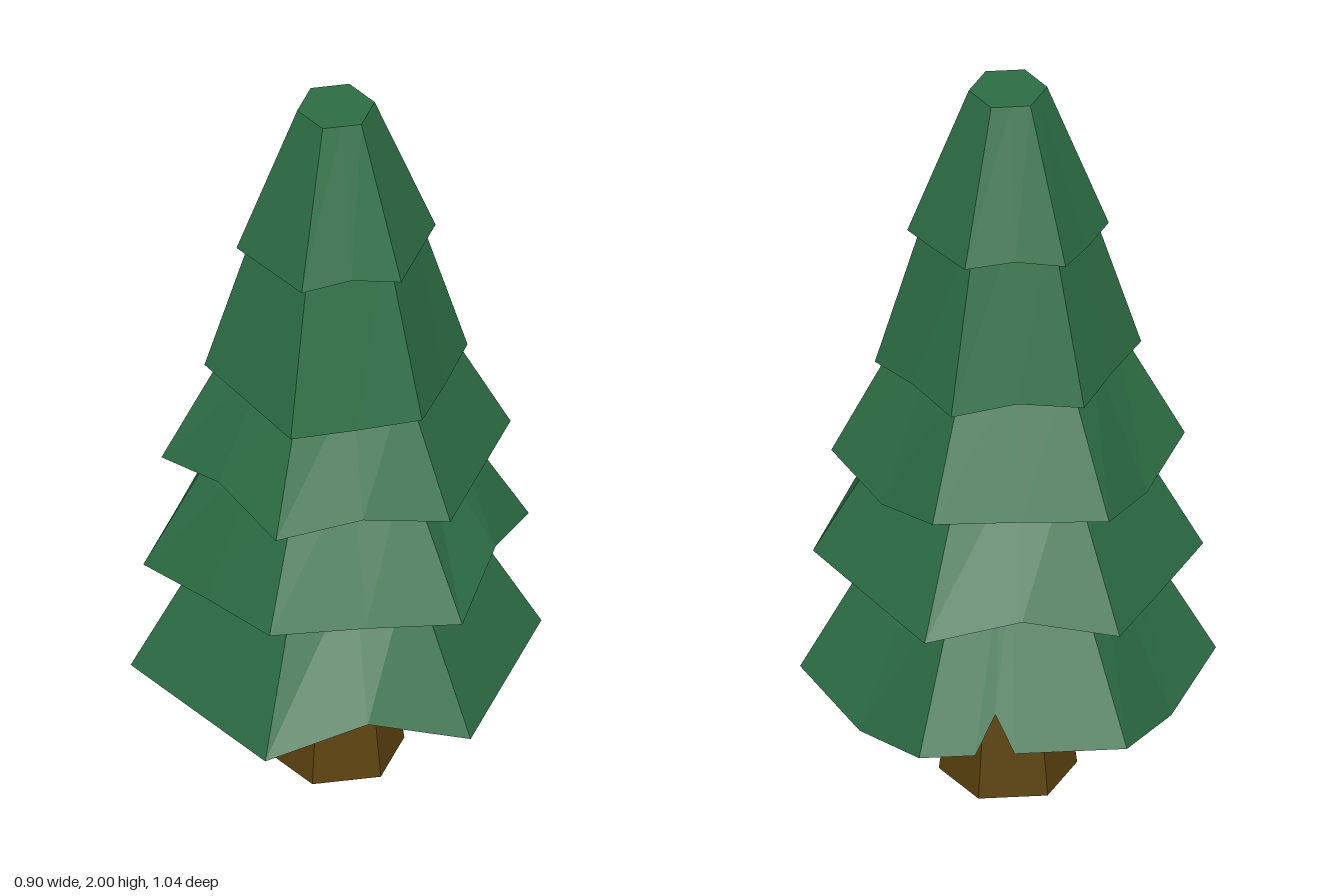
import * as THREE from 'three';

// Point on a unit hexagon outline: u runs 0..6 from the +z corner towards +x
function hexPoint(u) {
  const k = Math.floor(u), t = u - k;
  const a = (k * Math.PI) / 3, b = ((k + 1) * Math.PI) / 3;
  return [
    Math.sin(a) * (1 - t) + Math.sin(b) * t,
    Math.cos(a) * (1 - t) + Math.cos(b) * t,
  ];
}

// Hollow six-sided skirt. rim: [u, y, scale] along its ragged lower edge.
function skirtGeometry({ r, topR, topY, ceilingY, rim }) {
  const ring = (radius, y) => rim.map(([u, rimY, s = 1]) => {
    const [x, z] = hexPoint(u);
    const k = radius * (y === undefined ? s : 1);
    return new THREE.Vector3(x * k, y === undefined ? rimY : y, z * k);
  });
  const inner = r * 0.76;
  const rings = [
    ring(0, ceilingY), ring(inner, ceilingY), // hollow ceiling
    ring(inner), ring(r),                     // underside of the rim
    ring(topR, topY), ring(0, topY),          // sloped wall and top
  ];
  const pos = [];
  const tri = (a, b, c) => {
    if (new THREE.Triangle(a, b, c).getArea() > 1e-7) {
      for (const p of [a, b, c]) pos.push(p.x, p.y, p.z);
    }
  };
  for (let j = 0; j < rings.length - 1; j++) {
    const p = rings[j], q = rings[j + 1];
    for (let i = 0; i < rim.length; i++) {
      const n = (i + 1) % rim.length;
      tri(p[i], p[n], q[n]);
      tri(p[i], q[n], q[i]);
    }
  }
  const g = new THREE.BufferGeometry();
  g.setAttribute('position', new THREE.Float32BufferAttribute(pos, 3));
  g.computeVertexNormals();
  return g;
}

// Rim from alternating corner and mid-edge heights
const rimFrom = (heights) => heights.map((y, i) => [i / 2, y]);

export function createModel() {
  const group = new THREE.Group();
  const green = new THREE.MeshStandardMaterial({ color: 0x2d6e45, flatShading: true });
  const brown = new THREE.MeshStandardMaterial({ color: 0x5c430f, flatShading: true });

  // Trunk
  const trunk = new THREE.Mesh(new THREE.CylinderGeometry(0.11, 0.173, 0.5, 6), brown);
  trunk.name = 'trunk';
  trunk.position.y = 0.25;
  group.add(trunk);

  // Lowest rim has a narrow notch at the back
  const lowestRim = rimFrom([0.32, 0.4, 0.32, 0.32, 0.32, 0.265, 0.32, 0, 0.32, 0.27, 0.32, 0.32]);
  lowestRim.splice(7, 1, [3.27, 0.32], [3.36, 0.41, 0.9], [3.46, 0.32]);

  // Foliage tiers, bottom to top
  const tiers = [
    { r: 0.52, topR: 0.29, topY: 0.74, ceilingY: 0.45, rim: lowestRim },
    { r: 0.488, topR: 0.27, topY: 1.04, ceilingY: 0.77,
      rim: rimFrom([0.69, 0.68, 0.66, 0.73, 0.66, 0.65, 0.64, 0.69, 0.635, 0.63, 0.63, 0.665]) },
    { r: 0.442, topR: 0.265, topY: 1.3, ceilingY: 1.06,
      rim: rimFrom([0.955, 0.99, 0.955, 0.955, 0.955, 0.91, 0.965, 0.96, 0.95, 0.91, 0.96, 1.01]) },
    { r: 0.333, topR: 0.19, topY: 1.7, ceilingY: 1.3,
      rim: rimFrom([1.195, 1.2, 1.21, 1.2, 1.21, 1.23, 1.22, 1.25, 1.23, 1.24, 1.235, 1.215]) },
    { r: 0.252, topR: 0.098, topY: 2, ceilingY: 1.66,
      rim: rimFrom([1.595, 1.617, 1.595, 1.595, 1.595, 1.6, 1.61, 1.625, 1.605, 1.59, 1.59, 1.593]) },
  ];
  tiers.forEach((tier, i) => {
    const mesh = new THREE.Mesh(skirtGeometry(tier), green);
    mesh.name = `foliageTier${i + 1}`;
    group.add(mesh);
  });
  return group;
}
